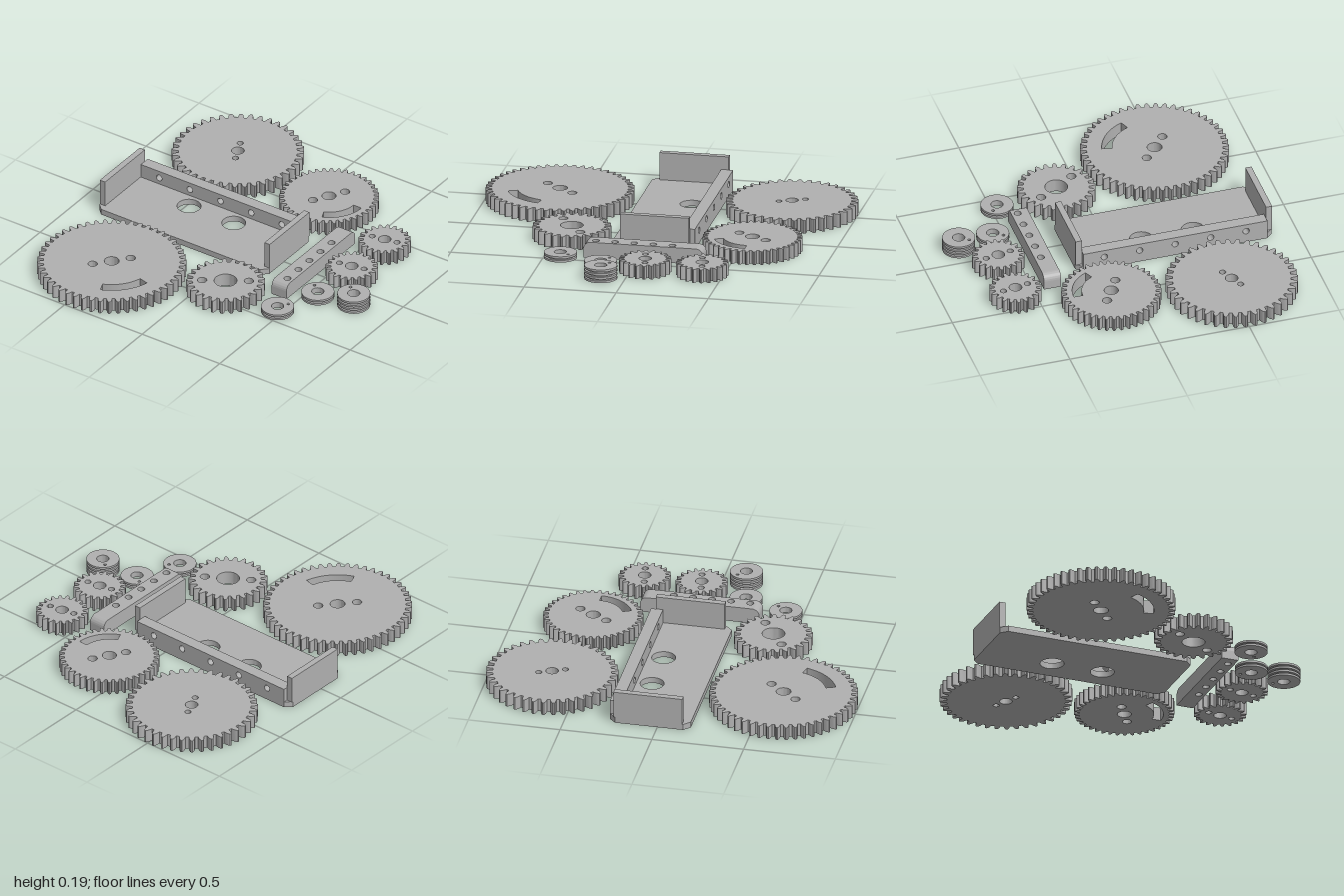
import * as THREE from 'three';
import { toCreasedNormals } from 'three/addons/utils/BufferGeometryUtils.js';

const grey = new THREE.MeshStandardMaterial({ color: 0xb0b0b0 });
grey.name = 'plain grey';

const THICK = 0.074;

function circle(x, y, r) {
  return new THREE.Path().absarc(x, y, r, 0, Math.PI * 2, true);
}

// Curved slot, angles in degrees
function arcSlot({ inner, outer, from, to }) {
  const a = THREE.MathUtils.degToRad(from), b = THREE.MathUtils.degToRad(to);
  const p = new THREE.Path();
  p.absarc(0, 0, outer, a, b, false);
  p.absarc(0, 0, inner, b, a, true);
  p.closePath();
  return p;
}

function extrude(shape, depth) {
  const geo = new THREE.ExtrudeGeometry(shape, { depth, bevelEnabled: false, curveSegments: 20 });
  return toCreasedNormals(geo, 0.5);
}

// Shape drawn in (x, z), lying flat from y = bottom to y = bottom + height
function flat(shape, height, bottom = 0) {
  return extrude(shape, height).rotateX(Math.PI / 2).translate(0, bottom + height, 0);
}

function mesh(name, geo, x = 0, y = 0, z = 0) {
  const m = new THREE.Mesh(geo, grey);
  m.name = name;
  m.position.set(x, y, z);
  return m;
}

// Spur gear with rounded tooth tips and a gap facing -z
function gear({ name, x, z, radius, teeth, bore, pins, pinRadius, slot }) {
  const module = (2 * radius) / (teeth + 2);
  const root = radius - 2.2 * module;
  const pitch = (Math.PI * 2) / teeth;
  const profile = [
    [-0.33, root], [-0.25, radius - module], [-0.15, radius - 0.3 * module], [-0.07, radius],
    [0.07, radius], [0.15, radius - 0.3 * module], [0.25, radius - module], [0.33, root],
  ];
  const points = [];
  for (let i = 0; i < teeth; i++) {
    for (const [t, r] of profile) {
      const a = -Math.PI / 2 + (i + 0.5 + t) * pitch;
      points.push(new THREE.Vector2(Math.cos(a) * r, Math.sin(a) * r));
    }
  }
  const shape = new THREE.Shape(points);
  shape.holes.push(circle(0, 0, bore));
  // Pin holes sit on opposite sides of the bore
  for (const s of [1, -1]) shape.holes.push(circle(s * pins[0], s * pins[1], pinRadius));
  if (slot) shape.holes.push(arcSlot(slot));
  return mesh(name, flat(shape, THICK), x, 0, z);
}

// Grooved pulley made of stacked rims and cores
function spool(name, x, z, rims, pinX, pinZ) {
  const g = new THREE.Group();
  g.name = name;
  g.position.set(x, 0, z);
  const rimH = 0.0118, coreH = 0.009;
  const ring = (r, h, y) => {
    const s = new THREE.Shape().absarc(0, 0, r, 0, Math.PI * 2, false);
    s.holes.push(circle(0, 0, 0.033), circle(pinX, pinZ, 0.008));
    return flat(s, h, y);
  };
  for (let i = 0; i < rims; i++) {
    const y = i * (rimH + coreH);
    g.add(mesh('spoolRim', ring(0.088, rimH, y)));
    if (i < rims - 1) g.add(mesh('spoolCore', ring(0.074, coreH, y + rimH)));
  }
  return g;
}

// Tray with two end walls and a drilled back rail
function frame() {
  const g = new THREE.Group();
  g.name = 'frame';
  const x0 = -0.863, x1 = 0.232, z0 = -0.265, z1 = 0.175, c = 0.035;
  const base = new THREE.Shape([
    [x0 + c, z0], [x1 - c, z0], [x1, z0 + c], [x1, z1 - c],
    [x1 - c, z1], [x0 + c, z1], [x0, z1 - c], [x0, z0 + c],
  ].map(([x, z]) => new THREE.Vector2(x, z)));
  for (const x of [-0.46, -0.172]) base.holes.push(circle(x, -0.116, 0.064));
  g.add(mesh('framePlate', flat(base, 0.033)));

  const wall = new THREE.BoxGeometry(0.034, 0.152, 0.375);
  for (const x of [x0 + 0.017, x1 - 0.017]) g.add(mesh('endWall', wall, x, 0.109, -0.052));

  const rail = new THREE.Shape([
    [x0 + c, 0.033], [x1 - c, 0.033], [x1 - c, 0.113], [x0 + c, 0.113],
  ].map(([x, y]) => new THREE.Vector2(x, y)));
  for (let i = 0; i < 5; i++) rail.holes.push(circle(-0.71 + i * 0.1975, 0.071, 0.018));
  g.add(mesh('backRail', extrude(rail, 0.065), 0, 0, z0));
  return g;
}

// Drilled bar: straight middle plus ends with rounded top corners
function bar() {
  const g = new THREE.Group();
  g.name = 'drilledBar';
  const x0 = 0.35, x1 = 0.445, h = 0.087, za = -0.32, zb = 0.252, r = 0.038;
  const middle = new THREE.Shape([
    [x0, za], [x1, za], [x1, zb], [x0, zb],
  ].map(([x, z]) => new THREE.Vector2(x, z)));
  for (let i = 0; i < 5; i++) middle.holes.push(circle(0.41, -0.187 + i * 0.104, 0.019));
  g.add(mesh('barMiddle', flat(middle, h)));

  const end = new THREE.Shape();
  end.moveTo(0, 0);
  end.lineTo(r, 0);
  end.lineTo(r, h - r);
  end.absarc(0, h - r, r, 0, Math.PI / 2, false);
  end.closePath();
  const endGeo = extrude(end, x1 - x0).translate(0, 0, -(x1 - x0) / 2);
  for (const [z, turn] of [[zb, -1], [za, 1]]) {
    const m = mesh('barEnd', endGeo, (x0 + x1) / 2, 0, z);
    m.rotation.y = turn * Math.PI / 2;
    g.add(m);
  }
  return g;
}

export function createModel() {
  const model = new THREE.Group();
  model.name = 'gearKit';
  const gears = [
    { name: 'largeBackGear', x: -0.51, z: -0.65, radius: 0.353, teeth: 40, bore: 0.034, pins: [0.03, 0.066], pinRadius: 0.017 },
    { name: 'mediumBackGear', x: 0.135, z: -0.566, radius: 0.267, teeth: 40, bore: 0.038, pins: [0.048, -0.081], pinRadius: 0.025,
      slot: { inner: 0.158, outer: 0.208, from: 0, to: 66 } },
    { name: 'largeFrontGear', x: -0.468, z: 0.602, radius: 0.397, teeth: 50, bore: 0.04, pins: [0.068, -0.08], pinRadius: 0.025,
      slot: { inner: 0.228, outer: 0.282, from: 14, to: 68 } },
    { name: 'mediumFrontGear', x: 0.138, z: 0.415, radius: 0.21, teeth: 25, bore: 0.061, pins: [0.105, -0.067], pinRadius: 0.025 },
    { name: 'smallBackGear', x: 0.614, z: -0.39, radius: 0.14, teeth: 20, bore: 0.034, pins: [0.071, -0.013], pinRadius: 0.017 },
    { name: 'smallFrontGear', x: 0.614, z: -0.08, radius: 0.14, teeth: 20, bore: 0.034, pins: [0.071, -0.013], pinRadius: 0.017 },
  ];
  for (const g of gears) model.add(gear(g));
  model.add(frame(), bar());
  model.add(spool('tallSpool', 0.77, 0.13, 4, -0.047, -0.038));
  model.add(spool('innerSpool', 0.567, 0.172, 2, -0.048, -0.038));
  model.add(spool('frontSpool', 0.47, 0.41, 2, 0.036, -0.048));
  return model;
}
